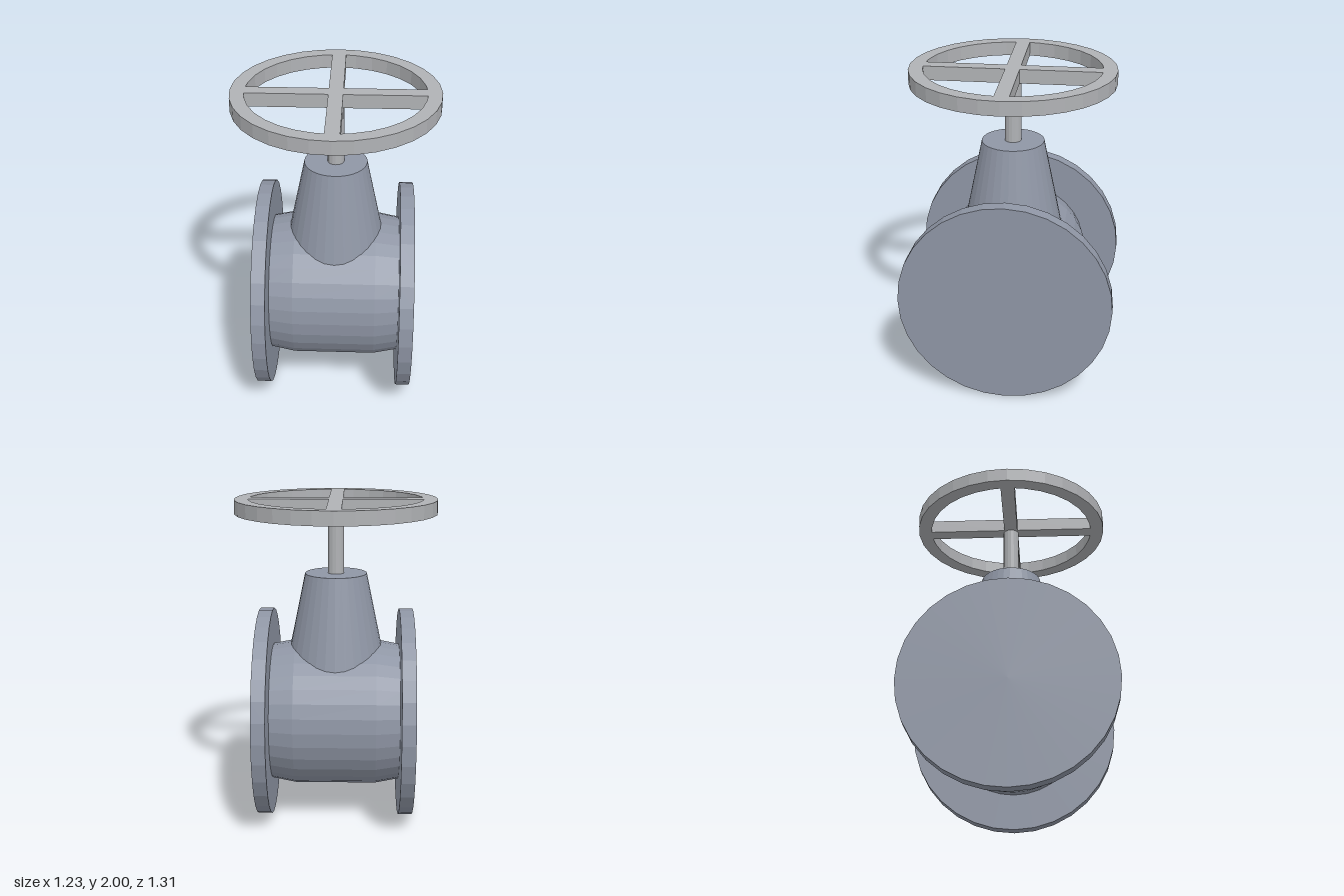
import * as THREE from 'three';

const SIDES = 32;
const AXIS_Y = 0.653; // height of the pipe axis

export function createModel() {
  const castIron = new THREE.MeshStandardMaterial({ color: 0x8f96a5, flatShading: true });
  castIron.name = 'blue grey cast iron';
  const steel = new THREE.MeshStandardMaterial({ color: 0xb0b2b5, flatShading: true });
  steel.name = 'light grey steel';

  const model = new THREE.Group();
  model.name = 'gateValve';
  const add = (name, geometry, material, x, y) => {
    const mesh = new THREE.Mesh(geometry, material);
    mesh.name = name;
    mesh.position.set(x, y, 0);
    model.add(mesh);
  };

  // Pipe body: a barrel that tapers slightly toward both flanges
  const profile = [[0.428, -0.4], [0.457, -0.25], [0.457, 0.25], [0.428, 0.4]]
    .map(([r, h]) => new THREE.Vector2(r, h));
  add('body', new THREE.LatheGeometry(profile, SIDES).rotateZ(Math.PI / 2), castIron, 0, AXIS_Y);

  // End flanges
  for (const [name, side] of [['leftFlange', 1], ['rightFlange', -1]]) {
    const disc = new THREE.CylinderGeometry(0.653, 0.653, 0.085, SIDES).rotateZ(Math.PI / 2);
    add(name, disc, castIron, side * 0.4375, AXIS_Y);
  }

  // Tapered bonnet, sunk into the body
  add('bonnet', new THREE.CylinderGeometry(0.19, 0.334, 0.695, SIDES), castIron, 0, 1.1975);

  // Stem up to the handwheel
  add('stem', new THREE.CylinderGeometry(0.05, 0.05, 0.42, 16), steel, 0, 1.73);

  // Handwheel: a disc with four quadrant openings that leave a rim and a cross of spokes
  const polar = (r, a) => new THREE.Vector2(r * Math.cos(a), r * Math.sin(a));
  const rim = Array.from({ length: SIDES }, (_, i) => polar(0.615, (i / SIDES) * Math.PI * 2));
  const wheel = new THREE.Shape(rim);
  const inner = 0.53, half = 0.043;
  const start = Math.asin(half / inner);
  for (let q = 0; q < 4; q++) {
    const turn = (q * Math.PI) / 2;
    const angles = [start];
    for (let i = 1; i < SIDES / 4; i++) angles.push((i / SIDES) * Math.PI * 2);
    angles.push(Math.PI / 2 - start);
    const opening = [new THREE.Vector2(half, half), ...angles.map((a) => polar(inner, a))]
      .map((p) => p.rotateAround(new THREE.Vector2(), turn));
    wheel.holes.push(new THREE.Path(opening));
  }
  const wheelGeometry = new THREE.ExtrudeGeometry(wheel, { depth: 0.085, bevelEnabled: false });
  add('handwheel', wheelGeometry.rotateX(-Math.PI / 2), steel, 0, 1.915);

  return model;
}
